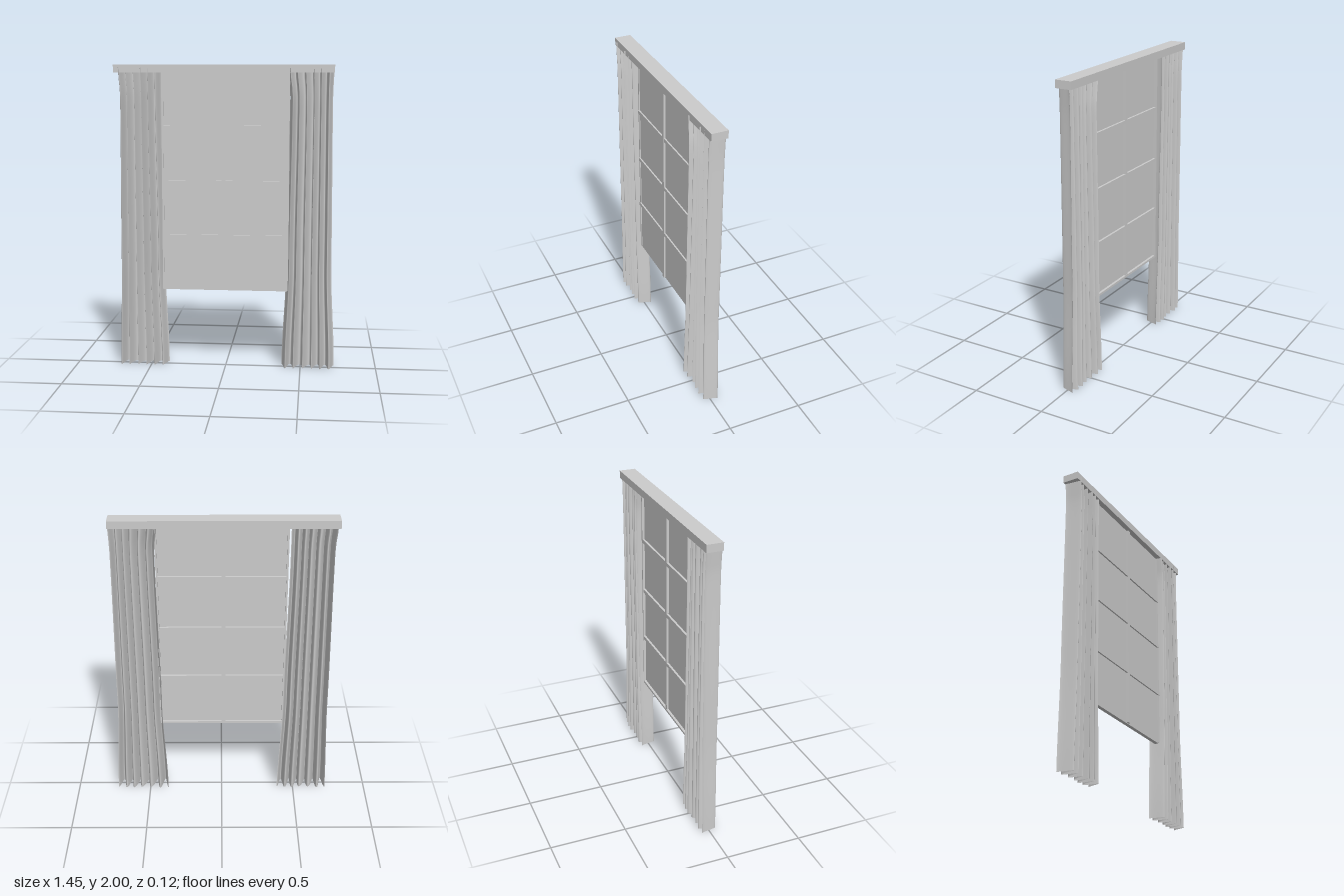
import * as THREE from 'three';

const grey = new THREE.MeshStandardMaterial({ color: 0xcccccc });
const cloth = new THREE.MeshStandardMaterial({ color: 0xcccccc, side: THREE.DoubleSide });

// Box given by its limits on each axis
function box(name, x0, x1, y0, y1, z0, z1) {
  const mesh = new THREE.Mesh(new THREE.BoxGeometry(x1 - x0, y1 - y0, z1 - z0), grey);
  mesh.position.set((x0 + x1) / 2, (y0 + y1) / 2, (z0 + z1) / 2);
  mesh.name = name;
  return mesh;
}

// Interpolates [y, value] pairs ordered from bottom to top
function sample(pairs, y) {
  for (let i = 1; i < pairs.length; i++) {
    const [y0, a] = pairs[i - 1], [y1, b] = pairs[i];
    if (y <= y1) return THREE.MathUtils.lerp(a, b, THREE.MathUtils.smoothstep(y, y0, y1));
  }
  return pairs[pairs.length - 1][1];
}

// Pleated open sheet hung between two edge curves
function curtain(name, leftEdge, rightEdge, pleats = 6) {
  const geo = new THREE.PlaneGeometry(1, 1, pleats * 16, 32);
  const pos = geo.attributes.position;
  for (let i = 0; i < pos.count; i++) {
    const u = pos.getX(i) + 0.5;
    const y = (pos.getY(i) + 0.5) * 1.98;
    const a = u * pleats * Math.PI * 2 + 0.35 * Math.sin(u * 9);
    // folds lean sideways and vary a little in depth
    const lean = 0.009 * Math.sin(a + 0.9) * Math.sin(u * Math.PI);
    const depth = 0.049 + 0.006 * Math.sin(u * 11 + y * 0.6);
    const x = THREE.MathUtils.lerp(sample(leftEdge, y), sample(rightEdge, y), u) + lean;
    pos.setXYZ(i, x, y, -0.004 - depth * Math.cos(a));
  }
  geo.computeVertexNormals();
  const mesh = new THREE.Mesh(geo, cloth);
  mesh.name = name;
  return mesh;
}

export function createModel() {
  const model = new THREE.Group();
  model.name = 'curtainedWindow';

  // Pelmet across the top
  model.add(box('pelmet', -0.73, 0.7, 1.95, 2, -0.065, 0.042));

  // Window panel, glazing bars and rim
  const win = new THREE.Group();
  win.name = 'window';
  win.add(box('pane', -0.42, 0.415, 0.52, 1.95, -0.004, 0.006));
  win.add(box('verticalBar', -0.026, 0, 0.52, 1.95, -0.018, 0.018));
  for (const y of [0.877, 1.237, 1.597]) {
    win.add(box('horizontalBar', -0.42, 0.415, y - 0.012, y + 0.012, -0.018, 0.016));
  }
  win.add(box('bottomRail', -0.42, 0.415, 0.515, 0.53, -0.02, 0.006));
  for (const x of [-0.42, 0.403]) win.add(box('sideRail', x, x + 0.012, 0.52, 1.95, -0.02, 0.012));
  model.add(win);

  // Curtains, gathered in the middle and flaring at the hem
  model.add(curtain('rightCurtain',
    [[0, -0.725], [0.7, -0.71], [1.8, -0.702], [1.98, -0.715]],
    [[0, -0.388], [0.7, -0.412], [1.8, -0.428], [1.98, -0.428]]));
  model.add(curtain('leftCurtain',
    [[0, 0.373], [0.7, 0.4], [1.8, 0.415], [1.98, 0.395]],
    [[0, 0.724], [0.7, 0.698], [1.8, 0.692], [1.98, 0.698]]));

  return model;
}
